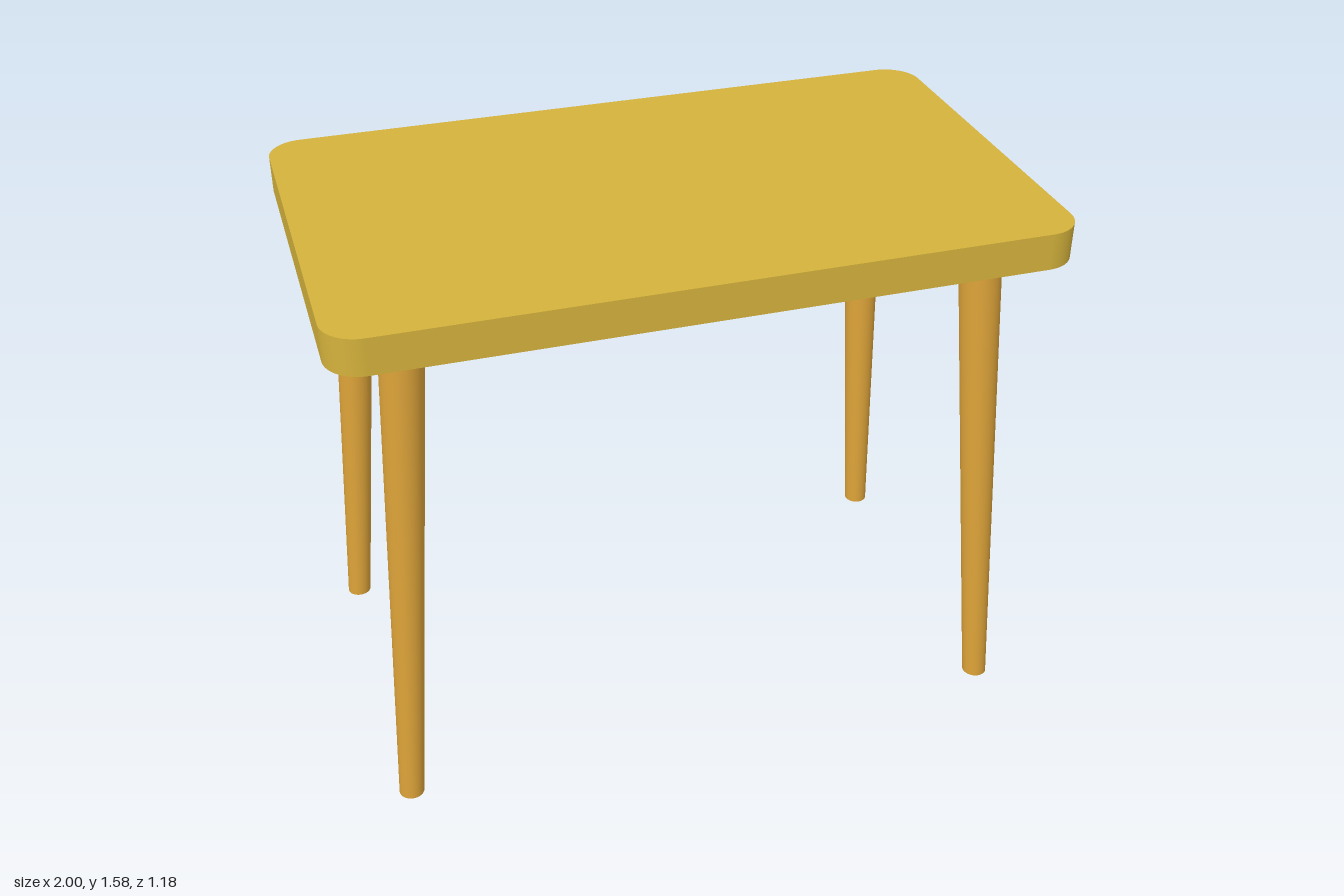
import * as THREE from 'three';
import { RoundedBoxGeometry } from 'three/addons/geometries/RoundedBoxGeometry.js';

const topWood = new THREE.MeshStandardMaterial({ color: 0xd4b23c });
topWood.name = 'yellow wood';
const legWood = new THREE.MeshStandardMaterial({ color: 0xdfa53a });
legWood.name = 'amber wood';

// Rectangle with rounded corners, centred on the origin
function roundedRect(w, d, r) {
  const x = w / 2, y = d / 2;
  const s = new THREE.Shape();
  s.moveTo(-x + r, -y);
  s.lineTo(x - r, -y);
  s.absarc(x - r, -y + r, r, -Math.PI / 2, 0);
  s.lineTo(x, y - r);
  s.absarc(x - r, y - r, r, 0, Math.PI / 2);
  s.lineTo(-x + r, y);
  s.absarc(-x + r, y - r, r, Math.PI / 2, Math.PI);
  s.lineTo(-x, -y + r);
  s.absarc(-x + r, -y + r, r, Math.PI, Math.PI * 1.5);
  return s;
}

// Tapered leg, sheared outward so that its foot stays flat on the floor
function legGeometry(sx, sz) {
  const height = 1.46;
  const geometry = new THREE.CylinderGeometry(0.06, 0.036, height, 32);
  geometry.translate(0, height / 2, 0);
  const p = geometry.attributes.position;
  for (let i = 0; i < p.count; i++) {
    const t = p.getY(i) / height;
    p.setX(i, p.getX(i) + sx * (0.895 - 0.102 * t));
    p.setZ(i, p.getZ(i) + sz * (0.485 - 0.082 * t));
  }
  return geometry;
}

export function createModel() {
  const table = new THREE.Group();
  table.name = 'table';
  const add = (name, geometry, material) => {
    const mesh = new THREE.Mesh(geometry, material);
    mesh.name = name;
    table.add(mesh);
    return mesh;
  };

  // Table top
  const slab = new THREE.ExtrudeGeometry(roundedRect(2, 1.18, 0.1), {
    depth: 0.104, bevelEnabled: false, curveSegments: 16,
  });
  slab.rotateX(-Math.PI / 2);
  add('tableTop', slab, topWood).position.y = 1.476;

  // Soft-edged panel under the top
  const panel = new RoundedBoxGeometry(1.744, 0.056, 0.93, 6, 0.025);
  add('underPanel', panel, topWood).position.y = 1.453;

  // Four splayed legs
  for (const [sx, xName] of [[1, 'Left'], [-1, 'Right']]) {
    for (const [sz, zName] of [[1, 'front'], [-1, 'back']]) {
      add(`${zName}${xName}Leg`, legGeometry(sx, sz), legWood);
    }
  }
  return table;
}
